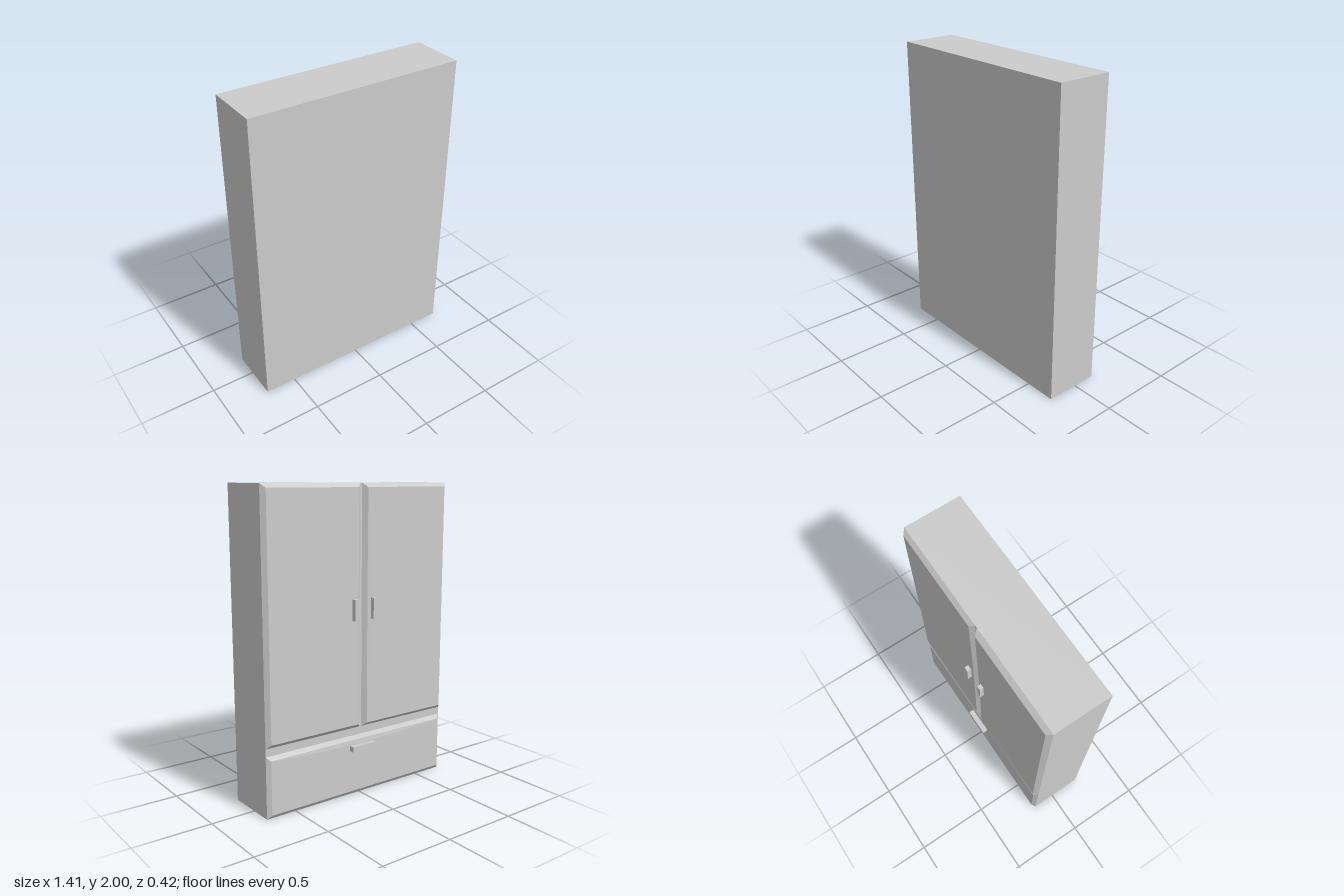
import * as THREE from 'three';

const grey = new THREE.MeshStandardMaterial({ color: 0xcccccc, flatShading: true });
const WIDTH = 1.414, HEIGHT = 2, FRONT = 0.153, BACK = 0.21, BEVEL = 0.026;

function box(name, w, h, d, x, y, z) {
  const mesh = new THREE.Mesh(new THREE.BoxGeometry(w, h, d), grey);
  mesh.name = name;
  mesh.position.set(x, y, z);
  return mesh;
}

// Bevelled panel, w wide and h tall, with a shallow bowed scoop along its upper edge.
function panelGeometry(w, h, depth, bow, dip, steps = 10) {
  const columns = [];
  for (let i = 0; i <= steps; i++) {
    const s = (2 * i) / steps - 1, k = 1 - s * s;
    const outer = (s * w) / 2, inner = s * (w / 2 - BEVEL);
    columns.push([
      [outer, 0, 0],
      [inner, BEVEL, depth],
      [inner, h - BEVEL - bow * k, depth],
      [inner, h - BEVEL, depth - dip * k],
      [outer, h, 0],
    ]);
  }
  const pos = [];
  const tri = (a, b, c) => pos.push(...a, ...b, ...c);
  for (let i = 0; i < steps; i++) {
    const a = columns[i], b = columns[i + 1];
    for (let j = 0; j < 4; j++) {
      tri(a[j], b[j], b[j + 1]);
      tri(a[j], b[j + 1], a[j + 1]);
    }
  }
  // side bevels
  const l = columns[0], r = columns[steps];
  tri(l[0], l[1], l[3]);
  tri(l[0], l[3], l[4]);
  tri(r[0], r[3], r[1]);
  tri(r[0], r[4], r[3]);
  const geo = new THREE.BufferGeometry();
  geo.setAttribute('position', new THREE.Float32BufferAttribute(pos, 3));
  geo.computeVertexNormals();
  return geo;
}

function panel(name, w, h, depth, x, y, turn) {
  const mesh = new THREE.Mesh(panelGeometry(w, h, depth, 0.03, 0.004), grey);
  mesh.name = name;
  mesh.position.set(x, y, FRONT);
  mesh.rotation.z = turn;
  return mesh;
}

export function createModel() {
  const model = new THREE.Group();
  model.name = 'refrigerator';

  // Cabinet
  model.add(box('cabinet', WIDTH, HEIGHT, FRONT + BACK, 0, HEIGHT / 2, (BACK - FRONT) / 2));

  // Doors and drawer, on the -z side
  const doorSide = new THREE.Group();
  doorSide.name = 'doorSide';
  doorSide.rotation.y = Math.PI;
  model.add(doorSide);

  const doorBottom = 0.45, doorH = HEIGHT - doorBottom, doorY = doorBottom + doorH / 2;
  doorSide.add(
    panel('leftDoor', doorH, 0.707, 0.026, -WIDTH / 2, doorY, -Math.PI / 2),
    panel('rightDoor', doorH, 0.692, 0.03, WIDTH / 2, doorY, Math.PI / 2),
    panel('drawer', WIDTH, 0.4, 0.019, 0, 0, 0),
  );

  // Handles
  doorSide.add(
    box('leftDoorHandle', 0.031, 0.135, 0.03, -0.061, 1.227, 0.192),
    box('rightDoorHandle', 0.031, 0.135, 0.03, 0.083, 1.227, 0.195),
    box('drawerHandle', 0.182, 0.034, 0.038, 0.002, 0.323, 0.188),
  );
  return model;
}
